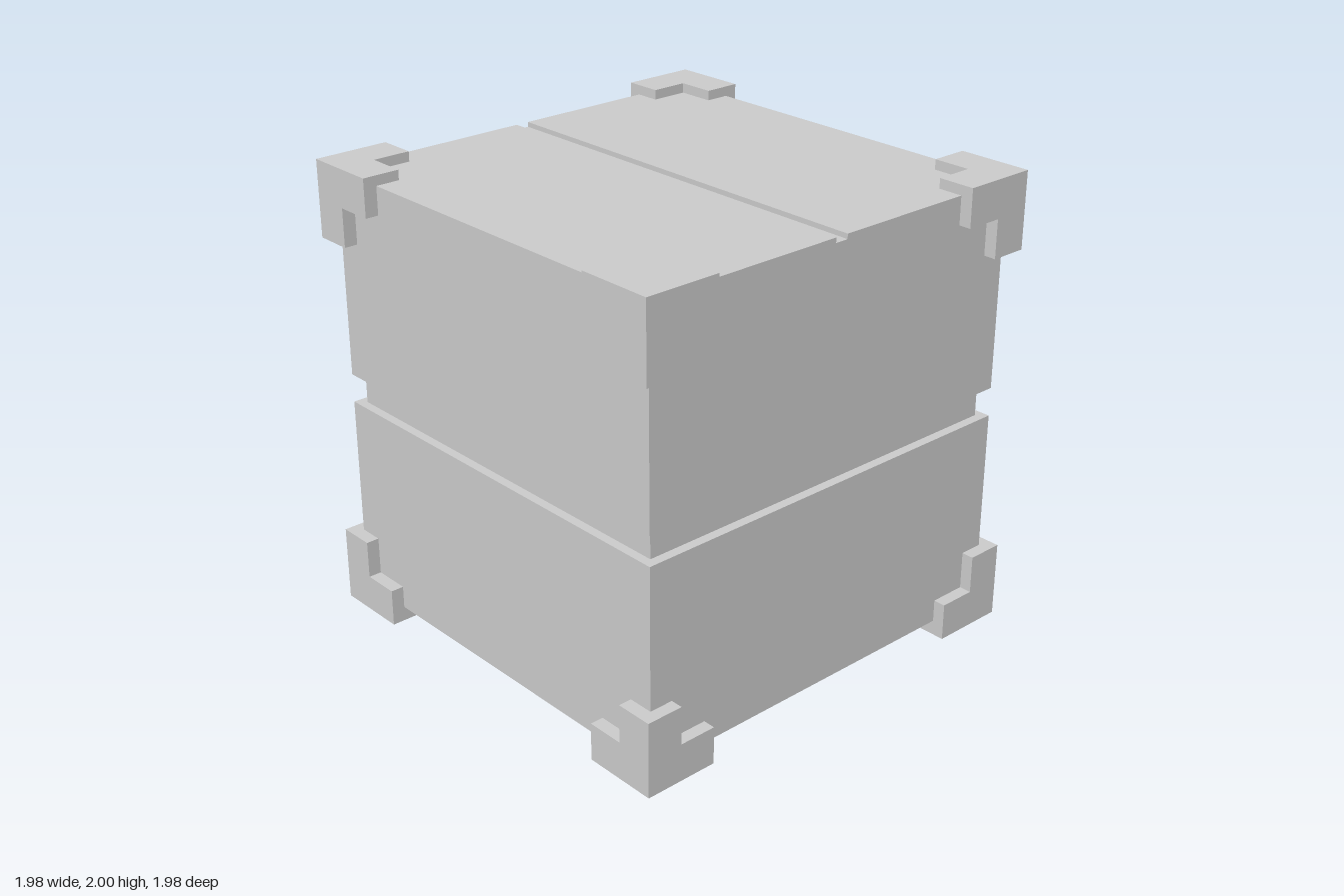
import * as THREE from 'three';

const material = new THREE.MeshStandardMaterial({ color: 0xcccccc, flatShading: true });

const X = 0.934, Z = 0.934;          // body half width and half depth
const CX = 0.988, CZ = 0.992;        // outer faces of the corner guards
const ARM = 0.33, THICK = 0.164;     // guard arm length and thickness

function addBox(parent, name, size, position) {
  const mesh = new THREE.Mesh(new THREE.BoxGeometry(...size), material);
  mesh.name = name;
  mesh.position.set(...position);
  parent.add(mesh);
}

// Three-armed guard wrapped round one corner of the crate
function cornerGuard(sx, sy, sz) {
  const guard = new THREE.Group();
  guard.name = 'cornerGuard';
  guard.position.set(sx * CX, sy > 0 ? 2 : 0, sz * CZ);
  const mid = THICK / 2, tip = (ARM + THICK) / 2, rest = ARM - THICK;
  const place = (x, y, z) => [-sx * x, -sy * y, -sz * z];
  addBox(guard, 'guardArmX', [ARM, THICK, THICK], place(ARM / 2, mid, mid));
  addBox(guard, 'guardArmY', [THICK, rest, THICK], place(mid, tip, mid));
  addBox(guard, 'guardArmZ', [THICK, THICK, rest], place(mid, mid, tip));
  return guard;
}

export function createModel() {
  const model = new THREE.Group();
  model.name = 'crate';

  // Lower half and the recessed band between the halves
  addBox(model, 'lowerBody', [2 * X, 0.875, 2 * Z], [0, 0.5025, 0]);
  addBox(model, 'recessedBand', [1.786, 0.125, 1.79], [0, 1.0025, 0]);

  // Upper half: side profile with a narrow slot across the lid
  const profile = new THREE.Shape([
    [-Z, 1.065], [Z, 1.065], [Z, 1.957], [0.03, 1.957],
    [0.03, 1.936], [-0.03, 1.936], [-0.03, 1.957], [-Z, 1.957],
  ].map(([z, y]) => new THREE.Vector2(z, y)));
  const upper = new THREE.ExtrudeGeometry(profile, { depth: 2 * X, bevelEnabled: false });
  upper.translate(0, 0, -X).rotateY(Math.PI / 2);
  const upperBody = new THREE.Mesh(upper, material);
  upperBody.name = 'upperBody';
  model.add(upperBody);

  // Guards on all eight corners
  for (const sx of [-1, 1])
    for (const sy of [-1, 1])
      for (const sz of [-1, 1]) model.add(cornerGuard(sx, sy, sz));

  return model;
}
